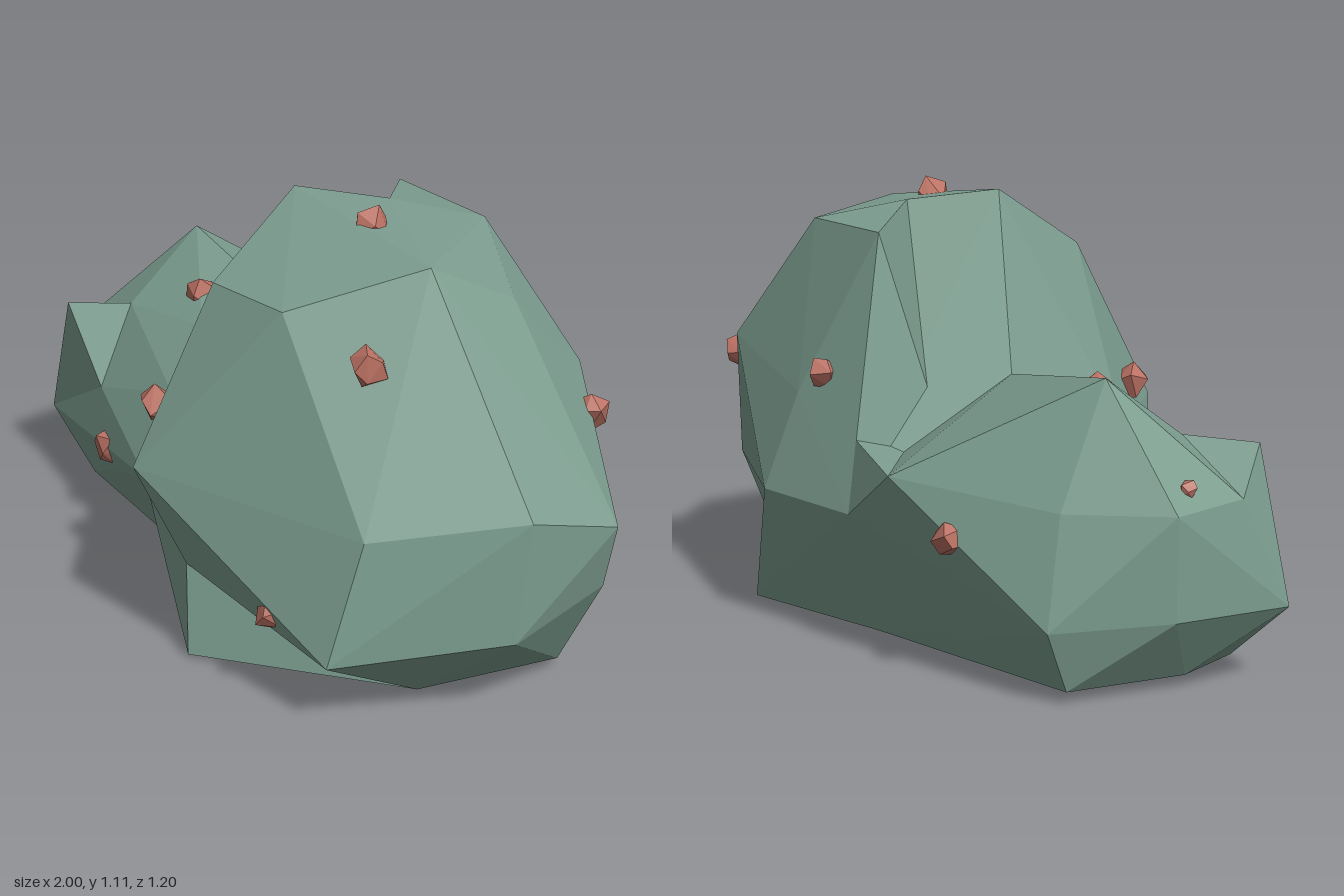
import * as THREE from 'three';
import { ConvexGeometry } from 'three/addons/geometries/ConvexGeometry.js';

const rockMaterial = new THREE.MeshStandardMaterial({ color: 0x7b9c8e, flatShading: true });
const pebbleMaterial = new THREE.MeshStandardMaterial({ color: 0xb97062, flatShading: true });

// Faceted solid wrapped around a few corner points
function hull(name, corners) {
  const geometry = new ConvexGeometry(corners.map(p => new THREE.Vector3(...p)));
  const mesh = new THREE.Mesh(geometry, rockMaterial);
  mesh.name = name;
  return mesh;
}

// Small seeded generator for the pebble shapes
function seeded(seed) {
  return () => (seed = (seed * 16807) % 2147483647) / 2147483647;
}

// Irregular angular pebble
function pebble(position, radius, seed) {
  const rand = seeded(seed * 7919 + 13);
  const corners = [];
  for (let i = 0; i < 11; i++) {
    const y = 1 - (2 * (i + 0.5)) / 11;
    const a = i * 2.4 + rand() * 0.7;
    const r = Math.sqrt(1 - y * y);
    corners.push(new THREE.Vector3(Math.cos(a) * r, y, Math.sin(a) * r)
      .multiplyScalar(radius * (0.85 + rand() * 0.3)));
  }
  const mesh = new THREE.Mesh(new ConvexGeometry(corners), pebbleMaterial);
  mesh.position.set(...position);
  mesh.rotation.set(rand() * 3, rand() * 3, rand() * 3);
  mesh.name = 'pebble';
  return mesh;
}

export function createModel() {
  const group = new THREE.Group();
  group.name = 'boulder';

  // Corners where the lumps meet
  const saddle = [-0.3, 0.67, -0.1];
  const notch = [-0.2, 0.535, -0.25];
  const notchBack = [-0.19, 0.49, -0.34];
  const ridge = [0.15, 1.07, -0.14];
  const shoulder = [0.29, 1.02, -0.34];
  const backRib = [0.05, 0.61, -0.52];
  const backBulge = [0.09, 0.36, -0.6];
  const backSaddle = [-0.16, 0.53, -0.48];
  const backWaist = [-0.23, 0.35, -0.53];
  const frontWaist = [-0.23, 0.28, 0.38];
  const baseWaist = [-0.22, 0.03, 0.26];
  const baseBackWaist = [-0.2, 0.03, -0.43];
  const waist = [[-0.28, 0.485, 0.26], frontWaist, baseWaist, backWaist, baseBackWaist];

  // Tall lump
  const frontLow = [0.2, 0.25, 0.525];
  const baseBack = [0.46, 0.025, -0.34];
  const base = [[0.69, 0, 0.17], [0.8, 0.02, -0.19], baseBack];
  group.add(hull('tallLump', [
    [0, 1.1, 0.05], [0.56, 1.04, 0.05], [0.09, 0.93, 0.36], [0.36, 0.93, 0.34],
    [0.6, 0.925, -0.18], ridge, shoulder, [0.55, 0.685, -0.45], backRib,
    [0.98, 0.54, 0.07], [1, 0.47, -0.18], [0.745, 0.485, 0.38], [0.08, 0.49, 0.6],
    [0.97, 0.23, 0.1], [0.95, 0.29, -0.19], [0.7, 0.32, -0.37], backBulge,
    [0.735, 0.18, 0.48], frontLow, ...base, saddle, notch, ...waist,
  ]));

  // Feet jutting out under the tall lump
  group.add(hull('frontFoot', [[0.23, 0.01, 0.545], frontLow, frontWaist, baseWaist, ...base]));
  group.add(hull('backFoot', [[0.25, 0.03, -0.55], backBulge, backWaist, baseBackWaist, baseBack]));

  // Spur rising behind the notch of the tall lump
  group.add(hull('backSpur', [
    ridge, [-0.09, 1.02, -0.36], shoulder, backRib, backBulge, backSaddle,
    notch, notchBack, backWaist, [0.3, 0.5, -0.2],
  ]));

  // Low lump
  const dip = [-0.73, 0.57, 0.11];
  const sideEdge = [-0.97, 0.46, 0.11];
  const frontCrease = [-0.64, 0.38, 0.27];
  const sideCorner = [-1, 0.19, 0.23];
  const lowBack = [-0.43, 0.485, -0.53];
  group.add(hull('lowLump', [
    [-0.78, 0.74, -0.15], saddle, [-0.37, 0.61, 0.1], dip, sideEdge, frontCrease, sideCorner,
    [-1, 0.45, -0.1], [-1, 0.2, -0.1], lowBack, [-0.82, 0.445, -0.3],
    [-0.86, 0.18, -0.36], notch, notchBack, [-0.55, 0.16, 0.29],
    [-0.52, 0.03, 0.22], [-0.82, 0.03, 0.2], [-0.89, 0.03, 0.01], [-0.85, 0.03, -0.3],
    ...waist,
  ]));

  // Bridge between the lumps at the back
  group.add(hull('backBridge', [
    lowBack, notchBack, backSaddle, backWaist, [-0.25, 0.3, -0.3],
  ]));

  // Pointed front corner of the low lump
  group.add(hull('frontPoint', [
    [-0.865, 0.56, 0.24], dip, sideEdge, frontCrease, sideCorner, [-0.75, 0.3, 0.1],
  ]));

  // Pebbles set into the surface: x, y, z, radius
  const pebbles = [
    [0.27, 1.055, 0.01, 0.055], [0.58, 0.84, 0.25, 0.052], [-0.08, 0.565, 0.42, 0.05],
    [0.52, 0.245, 0.49, 0.05], [-0.555, 0.24, 0.3, 0.05], [-0.515, 0.645, 0.01, 0.05],
    [-0.955, 0.5, -0.04, 0.022], [-0.59, 0.36, -0.46, 0.043], [-0.02, 0.665, -0.48, 0.043],
    [0.69, 0.61, -0.37, 0.052],
  ];
  pebbles.forEach(([x, y, z, r], i) => group.add(pebble([x, y, z], r, i + 1)));
  return group;
}
